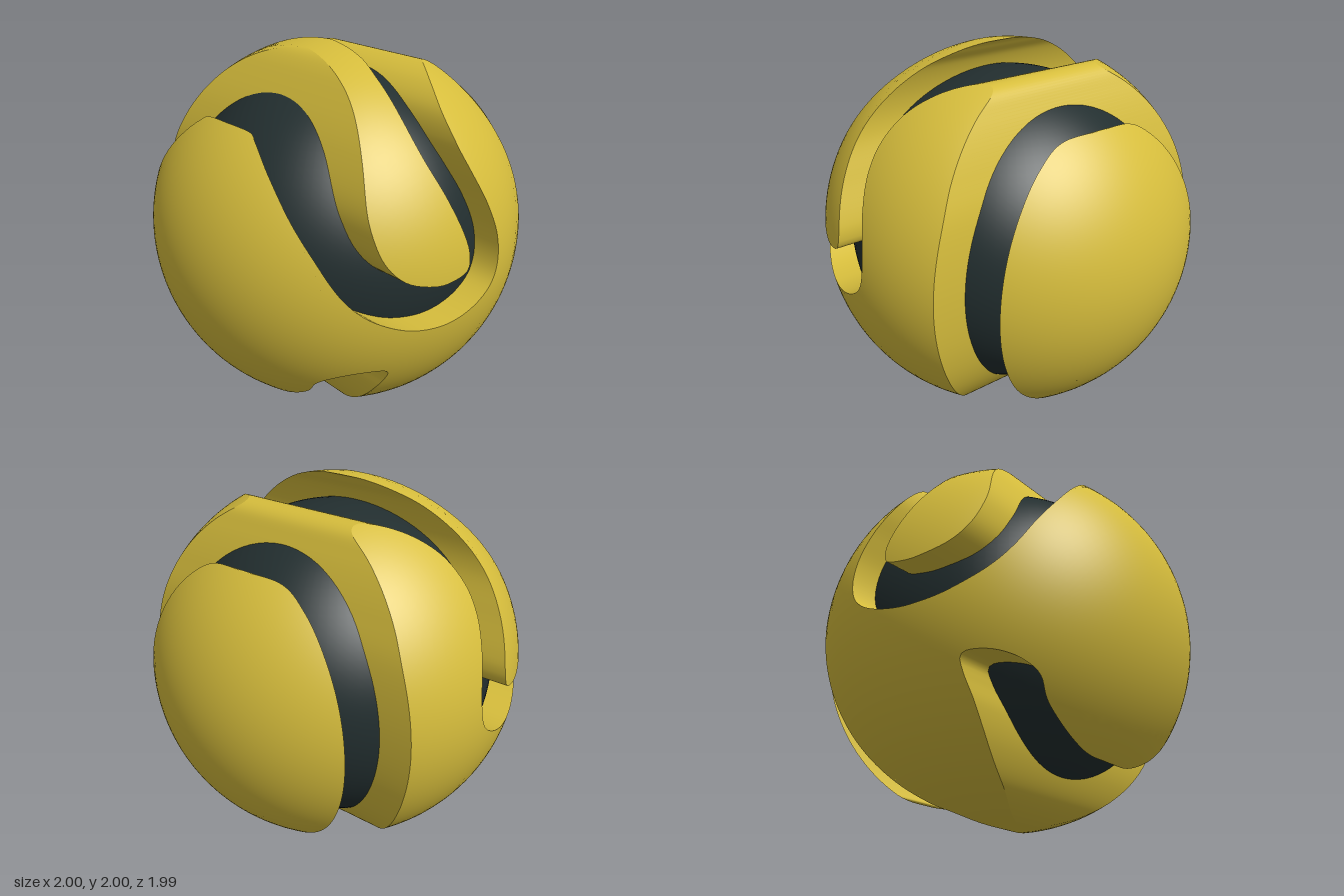
import * as THREE from 'three';

const gold = new THREE.MeshStandardMaterial({ color: 0xd6bd3c });
gold.name = 'mustard gold';
const dark = new THREE.MeshStandardMaterial({ color: 0x222e2f });
dark.name = 'dark slate';

const CORE_RADIUS = 0.86;
const MAX_EDGE = 0.07;
const RIM = Math.PI / 2;

// Flat (x, y) outline point -> unrolled hemisphere, where the rim has radius PI/2
function unroll([x, y]) {
  const r = Math.hypot(x, y), k = Math.asin(Math.min(r, 1)) / (r || 1);
  return new THREE.Vector2(x * k, y * k);
}

// Unrolled point -> point on the unit hemisphere (z >= 0)
function roll(p) {
  const a = Math.min(p.length(), RIM), k = a > 1e-9 ? Math.sin(a) / a : 1;
  return new THREE.Vector3(p.x * k, p.y * k, Math.max(0, Math.cos(a)));
}

// Closed outline: groove curves that start and end on the rim, joined by rim arcs
function makeOutline(curves) {
  const outline = [];
  const splines = curves.map((c) => {
    const pts = c.map(unroll);
    pts[0].setLength(RIM);
    pts[pts.length - 1].setLength(RIM);
    return new THREE.SplineCurve(pts);
  });
  splines.forEach((s, i) => {
    outline.push(...s.getSpacedPoints(Math.ceil(s.getLength() / 0.025)));
    const a = s.points[s.points.length - 1].angle();
    let b = splines[(i + 1) % splines.length].points[0].angle();
    if (b < a) b += 2 * Math.PI;
    const n = Math.ceil((b - a) / 0.03);
    for (let j = 1; j < n; j++) {
      const t = a + ((b - a) * j) / n;
      outline.push(new THREE.Vector2(RIM * Math.cos(t), RIM * Math.sin(t)));
    }
  });
  return outline;
}

// Spherical skins, front and back: split long edges, then roll onto the sphere
function skinGeometry(outline) {
  const stack = THREE.ShapeUtils.triangulateShape(outline, []).map((f) => f.map((i) => outline[i]));
  const pos = [];
  while (stack.length) {
    const t = stack.pop();
    const len = [0, 1, 2].map((i) => t[i].distanceTo(t[(i + 1) % 3]));
    const longest = Math.max(...len);
    if (longest > MAX_EDGE) {
      const i = len.indexOf(longest);
      const a = t[i], b = t[(i + 1) % 3], c = t[(i + 2) % 3];
      const m = a.clone().add(b).multiplyScalar(0.5);
      stack.push([a, m, c], [m, b, c]);
    } else {
      const [a, b, c] = t.map(roll);
      for (const v of [a, b, c]) pos.push(v.x, v.y, v.z);
      for (const v of [a, c, b]) pos.push(v.x, v.y, -v.z);
    }
  }
  const g = new THREE.BufferGeometry();
  g.setAttribute('position', new THREE.Float32BufferAttribute(pos, 3));
  g.setAttribute('normal', new THREE.Float32BufferAttribute(pos, 3)); // unit sphere
  return g;
}

// Straight groove walls running from the front skin to the back skin
function wallGeometry(outline) {
  const pos = [], index = [], n = outline.length;
  for (const p of outline) {
    const v = roll(p);
    pos.push(v.x, v.y, v.z, v.x, v.y, -v.z);
  }
  for (let i = 0; i < n; i++) {
    const a = 2 * i, b = 2 * ((i + 1) % n);
    if (pos[3 * a + 2] < 1e-4 && pos[3 * b + 2] < 1e-4) continue; // rim: no wall
    index.push(a, a + 1, b + 1, a, b + 1, b);
  }
  const g = new THREE.BufferGeometry();
  g.setAttribute('position', new THREE.Float32BufferAttribute(pos, 3));
  g.setIndex(index);
  g.computeVertexNormals();
  return g;
}

function shellPiece(name, curves) {
  const outline = makeOutline(curves);
  const piece = new THREE.Group();
  piece.name = name;
  const skin = new THREE.Mesh(skinGeometry(outline), gold);
  skin.name = name + 'Skin';
  const wall = new THREE.Mesh(wallGeometry(outline), gold);
  wall.name = name + 'GrooveWall';
  piece.add(skin, wall);
  return piece;
}

export function createModel() {
  const model = new THREE.Group();
  model.name = 'groovedBall';

  const core = new THREE.Mesh(new THREE.SphereGeometry(CORE_RADIUS, 96, 64), dark);
  core.name = 'innerCore';
  const ball = new THREE.Group();
  ball.name = 'ball';
  ball.position.y = 1;
  ball.add(core);

  // Side cap
  ball.add(shellPiece('sideCap', [[
    [0.7, 0.714], [0.681, 0.702], [0.705, 0.61], [0.75, 0.4], [0.775, 0.02], [0.745, -0.33],
    [0.68, -0.6], [0.625, -0.74], [0.615, -0.768], [0.635, -0.772],
  ]]));

  // Main shell: winding groove edge, then the small lower notch
  ball.add(shellPiece('mainShell', [
    [
      [0.0, -1], [0.08, -0.96], [0.17, -0.91], [0.305, -0.79], [0.43, -0.6], [0.51, -0.35], [0.545, 0],
      [0.53, 0.35], [0.48, 0.56], [0.4, 0.775], [0.35, 0.866], [0.29, 0.897], [0.22, 0.888],
      [0.13, 0.84], [0.055, 0.75], [0.03, 0.625], [0.05, 0.5], [0.1, 0.35], [0.145, 0.19],
      [0.148, 0.05], [0.107, -0.053], [0.01, -0.123], [-0.12, -0.166], [-0.256, -0.176],
      [-0.417, -0.144], [-0.578, -0.053], [-0.677, 0.07], [-0.738, 0.24], [-0.765, 0.4],
      [-0.75, 0.56], [-0.71, 0.67], [-0.695, 0.7], [-0.705, 0.709],
    ],
    [
      [-0.635, -0.772], [-0.624, -0.76], [-0.64, -0.62], [-0.663, -0.51], [-0.63, -0.45], [-0.56, -0.415],
      [-0.47, -0.408], [-0.417, -0.43], [-0.406, -0.5], [-0.4, -0.61], [-0.36, -0.75],
      [-0.28, -0.89], [-0.2, -0.955], [-0.08, -0.997],
    ],
  ]));

  // Tongue inside the U-shaped groove
  ball.add(shellPiece('tongue', [[
    [-0.2, 0.98], [-0.235, 0.962], [-0.283, 0.91], [-0.34, 0.825], [-0.444, 0.64], [-0.513, 0.455],
    [-0.525, 0.32], [-0.497, 0.2], [-0.417, 0.107], [-0.28, 0.06], [-0.176, 0.062], [-0.096, 0.09],
    [-0.08, 0.16], [-0.096, 0.25], [-0.15, 0.43], [-0.193, 0.604], [-0.187, 0.75], [-0.14, 0.893],
    [-0.09, 0.96], [-0.045, 0.999],
  ]]));

  model.add(ball);
  return model;
}
